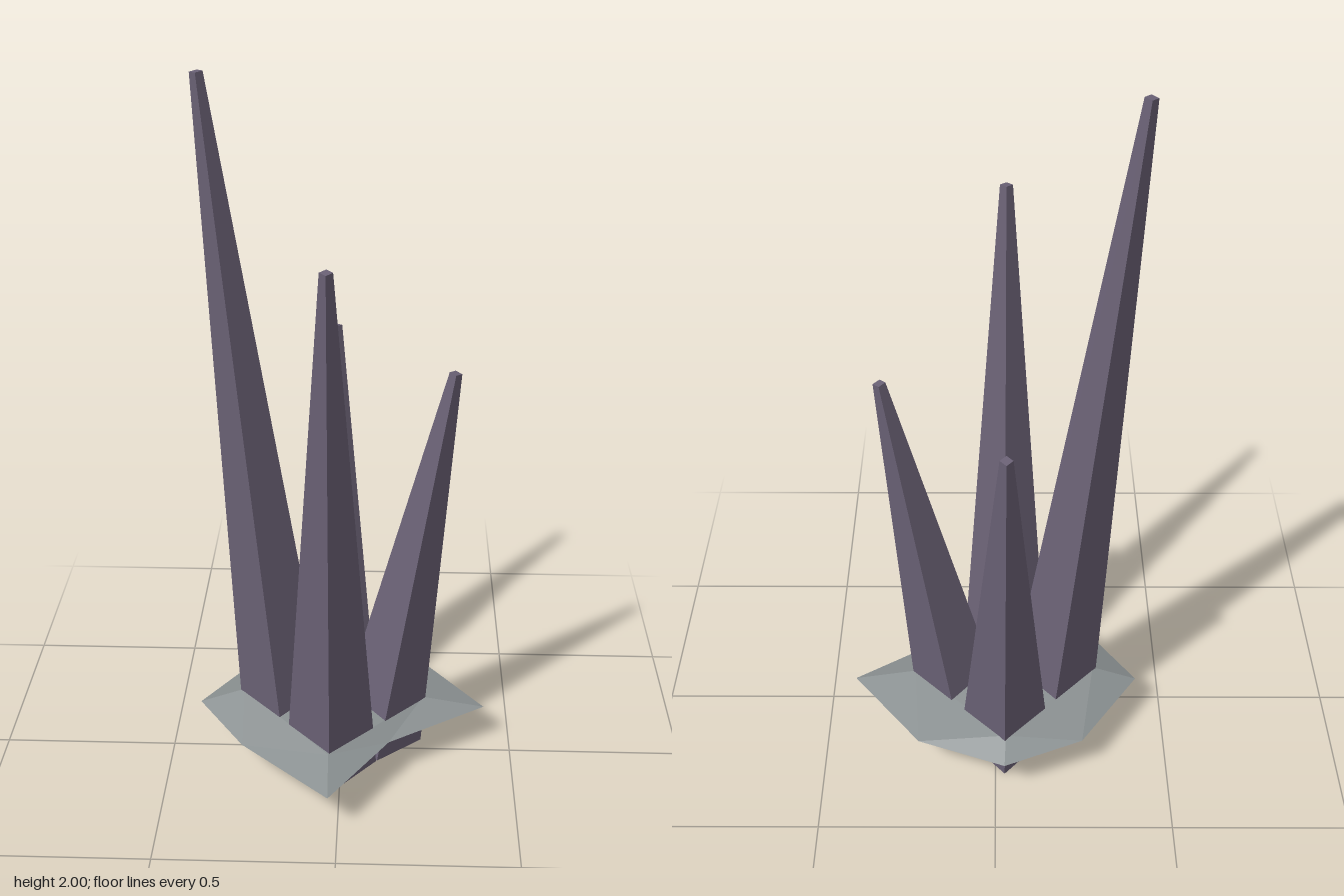
import * as THREE from 'three';

const CX = -0.03, CZ = -0.043; // centre of the cluster

function material(color) {
  return new THREE.MeshStandardMaterial({ color, flatShading: true });
}

// Four-sided tapering spike between two points, corners facing the axes
function spike(name, base, tip, mat) {
  const a = new THREE.Vector3(...base), b = new THREE.Vector3(...tip);
  const dir = b.clone().sub(a);
  const mesh = new THREE.Mesh(new THREE.CylinderGeometry(0.017, 0.131, dir.length(), 4), mat);
  mesh.name = name;
  mesh.position.copy(a).add(b).multiplyScalar(0.5);
  mesh.quaternion.setFromUnitVectors(new THREE.Vector3(0, 1, 0), dir.normalize());
  return mesh;
}

// Flattened, irregular faceted rock: a rim, a ring above and below, and two poles
function rockGeometry() {
  const y = 0.125;
  const rim = [
    [0.42, y, CZ], [0.14, y, 0.135], [-0.026, y, 0.385], [-0.28, y, 0.16],
    [-0.42, y, CZ], [-0.25, y, -0.29], [-0.026, y, -0.385], [0.222, y, -0.293],
  ];
  const ring = (ys) => [
    [0.24, ys[0], CZ], [CX, ys[1], 0.235], [-0.29, ys[2], CZ], [CX, ys[3], -0.3],
  ];
  const pos = [];
  const addHalf = (mids, pole, flip) => {
    const tri = (p, q, r) => pos.push(...p, ...(flip ? r : q), ...(flip ? q : r));
    for (let i = 0; i < 4; i++) {
      const a = rim[2 * i], ab = rim[2 * i + 1], b = rim[(2 * i + 2) % 8];
      const ap = mids[i], bp = mids[(i + 1) % 4];
      tri(a, ap, ab);
      tri(ab, bp, b);
      tri(ap, bp, ab);
      tri(ap, pole, bp);
    }
  };
  addHalf(ring([0.157, 0.155, 0.173, 0.157]), [CX, 0.18, CZ], false);
  addHalf(ring([0.085, 0.075, 0.088, 0.085]), [CX, 0.065, CZ], true);
  const g = new THREE.BufferGeometry();
  g.setAttribute('position', new THREE.Float32BufferAttribute(pos, 3));
  g.computeVertexNormals();
  return g;
}

export function createModel() {
  const group = new THREE.Group();
  group.name = 'crystalCluster';

  const rock = new THREE.Mesh(rockGeometry(), material(0x8b9192));
  rock.name = 'baseRock';
  group.add(rock);

  // Spikes lean outward, each a different height
  const crystal = material(0x6a6175);
  group.add(
    spike('rightSpike', [-0.163, 0.027, CZ], [-0.355, 1.998, CZ], crystal),
    spike('frontSpike', [CX + 0.003, 0.023, 0.093], [CX + 0.003, 1.607, 0.288], crystal),
    spike('leftSpike', [0.107, 0.021, CZ], [0.302, 1.207, CZ], crystal),
    spike('backSpike', [CX + 0.003, 0.021, -0.176], [CX + 0.003, 1.207, -0.37], crystal),
  );
  return group;
}
